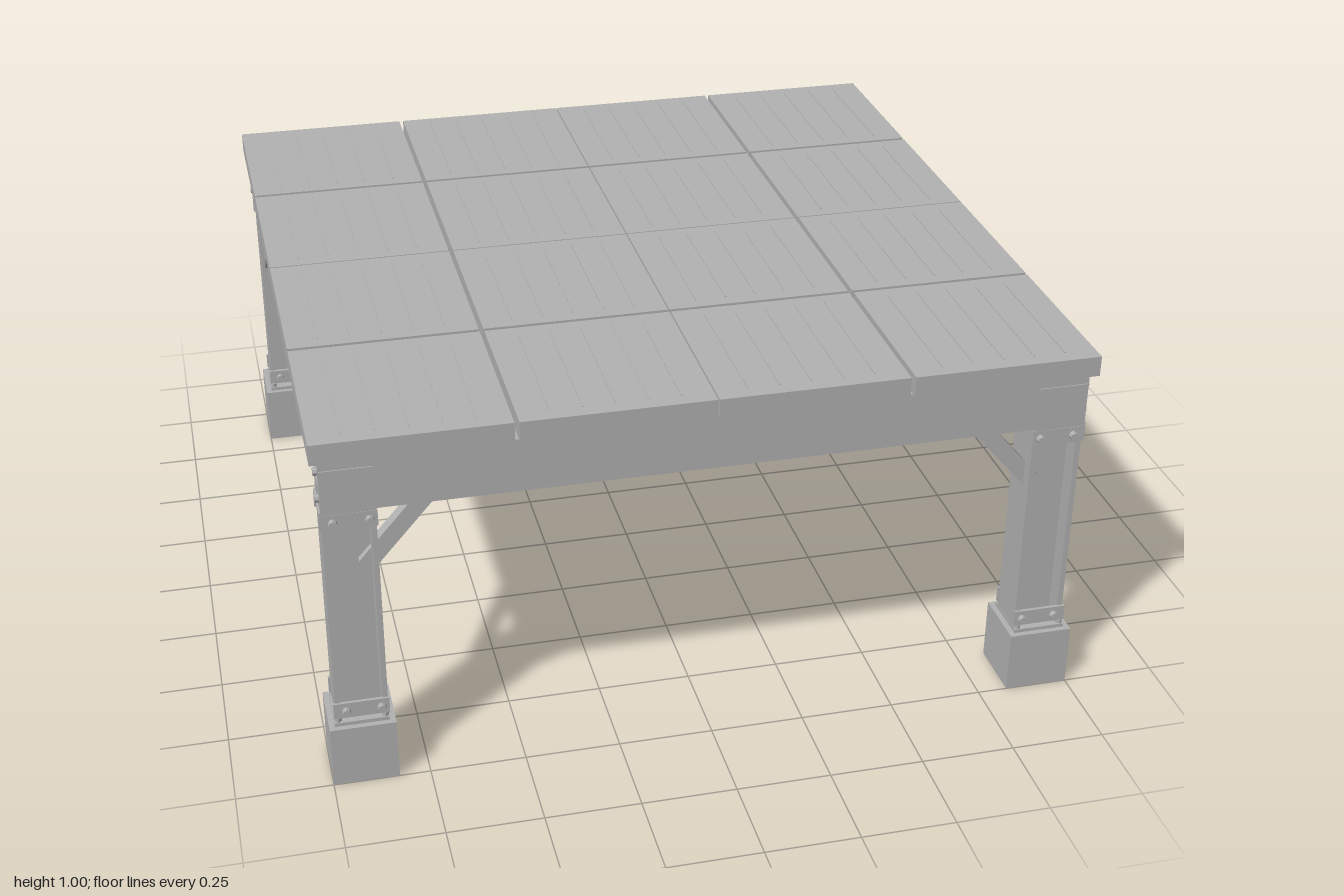
import * as THREE from 'three';

const steel = new THREE.MeshStandardMaterial({ color: 0xb2b2b2 });
steel.name = 'light grey';

// Box given by its min and max on each axis
function box(parent, name, x0, x1, y0, y1, z0, z1) {
  const m = new THREE.Mesh(new THREE.BoxGeometry(x1 - x0, y1 - y0, z1 - z0), steel);
  m.position.set((x0 + x1) / 2, (y0 + y1) / 2, (z0 + z1) / 2);
  m.name = name;
  parent.add(m);
  return m;
}

// Hexagonal bolt head pointing along x or z
function bolt(parent, x, y, z, axis, r = 0.011, h = 0.016) {
  const m = new THREE.Mesh(new THREE.CylinderGeometry(r, r, h, 8).toNonIndexed(), steel);
  m.geometry.computeVertexNormals();
  if (axis === 'x') m.rotation.z = Math.PI / 2;
  if (axis === 'z') m.rotation.x = Math.PI / 2;
  m.position.set(x, y, z);
  m.name = 'bolt';
  parent.add(m);
}

// I-section joist running along z
function joist(parent, name, x, halfW, y0, y1, len, t) {
  const g = new THREE.Group();
  g.name = name;
  box(g, 'topFlange', x - halfW, x + halfW, y1 - t, y1, -len, len);
  box(g, 'web', x - 0.008, x + 0.008, y0 + t, y1 - t, -len, len);
  box(g, 'bottomFlange', x - halfW, x + halfW, y0, y0 + t, -len, len);
  parent.add(g);
}

// Corner leg: footing, H-section post, clamps, bolts and diagonal braces
function leg(sx, sz) {
  const g = new THREE.Group();
  g.name = 'leg';
  const b = (name, x0, x1, y0, y1, z0, z1) => box(g, name,
    Math.min(sx * x0, sx * x1), Math.max(sx * x0, sx * x1), y0, y1,
    Math.min(sz * z0, sz * z1), Math.max(sz * z0, sz * z1));

  b('footing', 0.83, 1, 0, 0.17, 0.83, 1);
  b('basePlate', 0.845, 0.985, 0.17, 0.18, 0.845, 0.985);
  b('postOuterFlange', 0.966, 0.98, 0.18, 0.86, 0.86, 0.975);
  b('postInnerFlange', 0.846, 0.86, 0.18, 0.8, 0.86, 0.975);
  b('postWeb', 0.86, 0.966, 0.18, 0.8, 0.91, 0.925);
  b('capPlate', 0.845, 0.985, 0.79, 0.8, 0.855, 0.98);

  // Clamp plates on the front and back of the post
  for (const y of [0.213, 0.77]) {
    for (const [z0, z1, zb] of [[0.972, 0.981, 0.988], [0.852, 0.862, 0.846]]) {
      b('clampPlate', 0.843, 0.985, y - 0.022, y + 0.022, z0, z1);
      for (const x of [0.863, 0.953]) bolt(g, sx * x, y, sz * zb, 'z');
    }
  }
  // Anchor bolts on the base plate
  for (const x of [0.855, 0.975]) {
    for (const z of [0.855, 0.975]) bolt(g, sx * x, 0.185, sz * z, 'y', 0.008, 0.012);
  }
  // Connection plate over the beam end
  b('connectionPlate', 0.848, 0.978, 0.812, 0.918, 0.984, 0.988);
  b('endStiffener', 0.965, 0.975, 0.8, 0.92, 0.865, 0.957);
  for (const y of [0.83, 0.905]) bolt(g, sx * 0.982, y, sz * 0.957, 'x');

  // Diagonal braces, one along each side
  const length = Math.hypot(0.2, 0.23);
  const angle = Math.atan2(0.23, -0.2);
  const side = new THREE.Mesh(new THREE.BoxGeometry(0.03, 0.045, length), steel);
  side.name = 'sideBrace';
  side.position.set(sx * 0.955, 0.733, sz * 0.77);
  side.rotation.x = sz * Math.atan2(0.23, 0.2);
  g.add(side);
  const front = new THREE.Mesh(new THREE.BoxGeometry(length, 0.045, 0.035), steel);
  front.name = 'frontBrace';
  front.position.set(sx * 0.775, 0.728, sz * 0.925);
  front.rotation.z = sx * angle;
  g.add(front);
  return g;
}

export function createModel() {
  const model = new THREE.Group();
  model.name = 'raisedPlatform';

  // Deck: four by four panels with narrow gaps
  const deck = new THREE.Group();
  deck.name = 'deck';
  const spans = [[-1, -0.506], [-0.494, -0.002], [0.002, 0.494], [0.506, 1]];
  for (const [x0, x1] of spans) {
    for (const [z0, z1] of spans) {
      box(deck, 'deckPanel', x0, x1, 0.945, 1, z0, z1);
      // Fine grip ribs
      for (let i = 1; i <= 5; i++) {
        const x = x0 + (x1 - x0) * i / 6;
        box(deck, 'gripRib', x - 0.0015, x + 0.0015, 0.999, 1.002, z0 + 0.04, z1 - 0.04);
      }
    }
  }
  model.add(deck);

  // Front and back beams
  for (const s of [-1, 1]) {
    box(model, s > 0 ? 'frontBeam' : 'backBeam', -0.98, 0.98, 0.8, 0.945,
      s > 0 ? 0.957 : -0.985, s > 0 ? 0.985 : -0.957);
  }

  // Side beams with a wide bearing plate on top
  for (const s of [-1, 1]) {
    joist(model, 'sideBeam', s * 0.91, 0.03, 0.8, 0.92, 0.957, 0.015);
    box(model, 'bearingPlate', s * 0.912 - 0.066, s * 0.912 + 0.066, 0.92, 0.945, -0.957, 0.957);
  }

  // Inner joists
  for (const x of [-0.5, 0, 0.5]) joist(model, 'innerJoist', x, 0.027, 0.85, 0.945, 0.957, 0.015);

  for (const sx of [-1, 1]) for (const sz of [-1, 1]) model.add(leg(sx, sz));
  return model;
}
